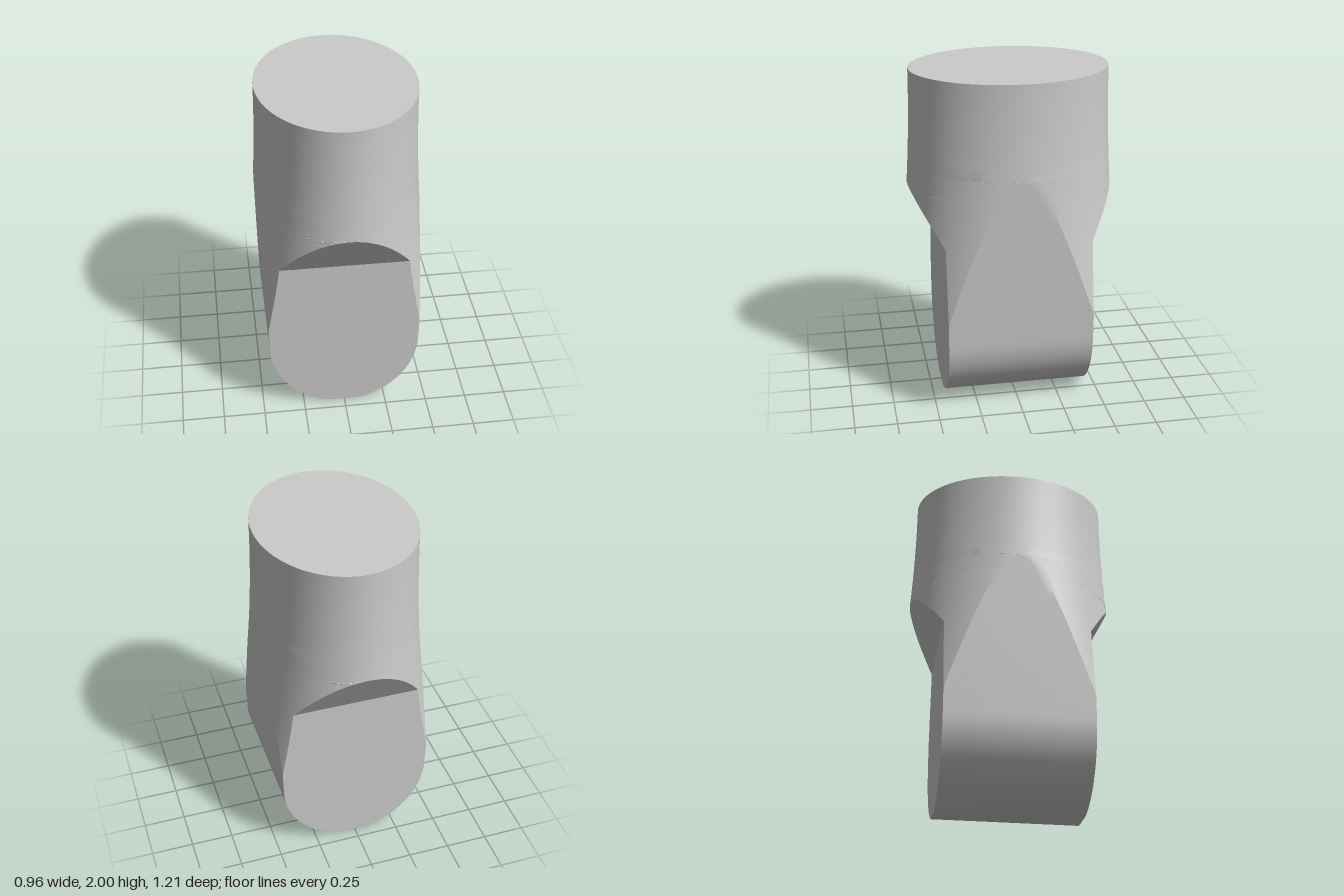
import * as THREE from 'three';
import { toCreasedNormals } from 'three/addons/utils/BufferGeometryUtils.js';

const TOP = 2, SHOULDER = 1.32, FLAT_TOP = 1.03, SIDE_TOP = 1.45, ROUND = 0.45;

// Flaring elliptical stem: radii grow towards the bottom
const radiusX = y => 0.462 + 0.058 * Math.pow(TOP - y, 2.1);
const radiusZ = y => 0.58 + 0.055 * Math.pow(TOP - y, 2);

// Side cut: slightly leaning flat, rounded underneath
function cutX(y) {
  if (y >= SIDE_TOP) return Infinity;
  if (y >= ROUND) return THREE.MathUtils.mapLinear(y, ROUND, SIDE_TOP, 0.45, radiusX(SIDE_TOP));
  return 0.45 * Math.sqrt(1 - ((ROUND - y) / 0.459) ** 2);
}

// Front and back cut: upright flat, then a sloping shoulder
function cutZ(y) {
  if (y >= SHOULDER) return Infinity;
  if (y <= FLAT_TOP) return 0.43;
  return THREE.MathUtils.mapLinear(y, FLAT_TOP, SHOULDER, 0.43, radiusZ(SHOULDER));
}

// Closed cross-section: side flat, elliptical arc, front flat, mirrored to all quadrants
function section(y) {
  const rx = radiusX(y), rz = radiusZ(y);
  const X = Math.min(cutX(y), rx), Z = Math.min(cutZ(y), rz);
  const t0 = Math.acos(X / rx), t1 = Math.asin(Z / rz);
  const arc = [];
  for (let i = 0; i <= 16; i++) {
    const t = t0 + (t1 - t0) * i / 16;
    arc.push(t0 < t1 ? [rx * Math.cos(t), rz * Math.sin(t)] : [X, Z]);
  }
  const q = [];
  for (let i = 0; i < 4; i++) q.push([arc[0][0], arc[0][1] * i / 4]);
  q.push(...arc);
  for (let i = 3; i >= 0; i--) q.push([arc[16][0] * i / 4, arc[16][1]]);
  const half = [...q, ...q.slice(0, -1).reverse().map(([x, z]) => [-x, z])];
  const loop = [...half, ...half.slice(1, -1).reverse().map(([x, z]) => [x, -z])];
  return loop.map(([x, z]) => new THREE.Vector3(x, y, z));
}

export function createModel() {
  // Row heights, crowded where the cuts run out in a curve
  const ys = [];
  const rows = (a, b, n, ease = t => t) => {
    for (let i = 0; i < n; i++) ys.push(a + (b - a) * ease(i / n));
  };
  const easeOut = t => Math.sin(t * Math.PI / 2);
  rows(0, ROUND, 20, t => 1 - Math.cos(t * Math.PI / 2));
  rows(ROUND, FLAT_TOP, 14);
  rows(FLAT_TOP, SHOULDER, 16, easeOut);
  rows(SHOULDER, SIDE_TOP, 10, easeOut);
  rows(SIDE_TOP, TOP, 8);
  ys.push(TOP);
  const loops = ys.map(section);

  const positions = [];
  const tri = (a, b, c) => {
    const area = b.clone().sub(a).cross(c.clone().sub(a)).length();
    if (area > 1e-9) for (const p of [a, b, c]) positions.push(p.x, p.y, p.z);
  };
  const n = loops[0].length;
  const bottom = new THREE.Vector3(0, 0, 0), top = new THREE.Vector3(0, TOP, 0);
  for (let i = 0; i < n; i++) {
    const j = (i + 1) % n;
    // Walls
    for (let r = 0; r < loops.length - 1; r++) {
      const lo = loops[r], hi = loops[r + 1];
      tri(lo[i], hi[i], lo[j]);
      tri(lo[j], hi[i], hi[j]);
    }
    // End caps
    tri(bottom, loops[0][i], loops[0][j]);
    tri(top, loops[loops.length - 1][j], loops[loops.length - 1][i]);
  }

  const geometry = new THREE.BufferGeometry();
  geometry.setAttribute('position', new THREE.Float32BufferAttribute(positions, 3));
  const body = new THREE.Mesh(
    toCreasedNormals(geometry, 0.3),
    new THREE.MeshStandardMaterial({ color: 0xcccccc })
  );
  body.name = 'stemWithFlattenedEnd';

  const group = new THREE.Group();
  group.name = 'rodEnd';
  group.add(body);
  return group;
}
